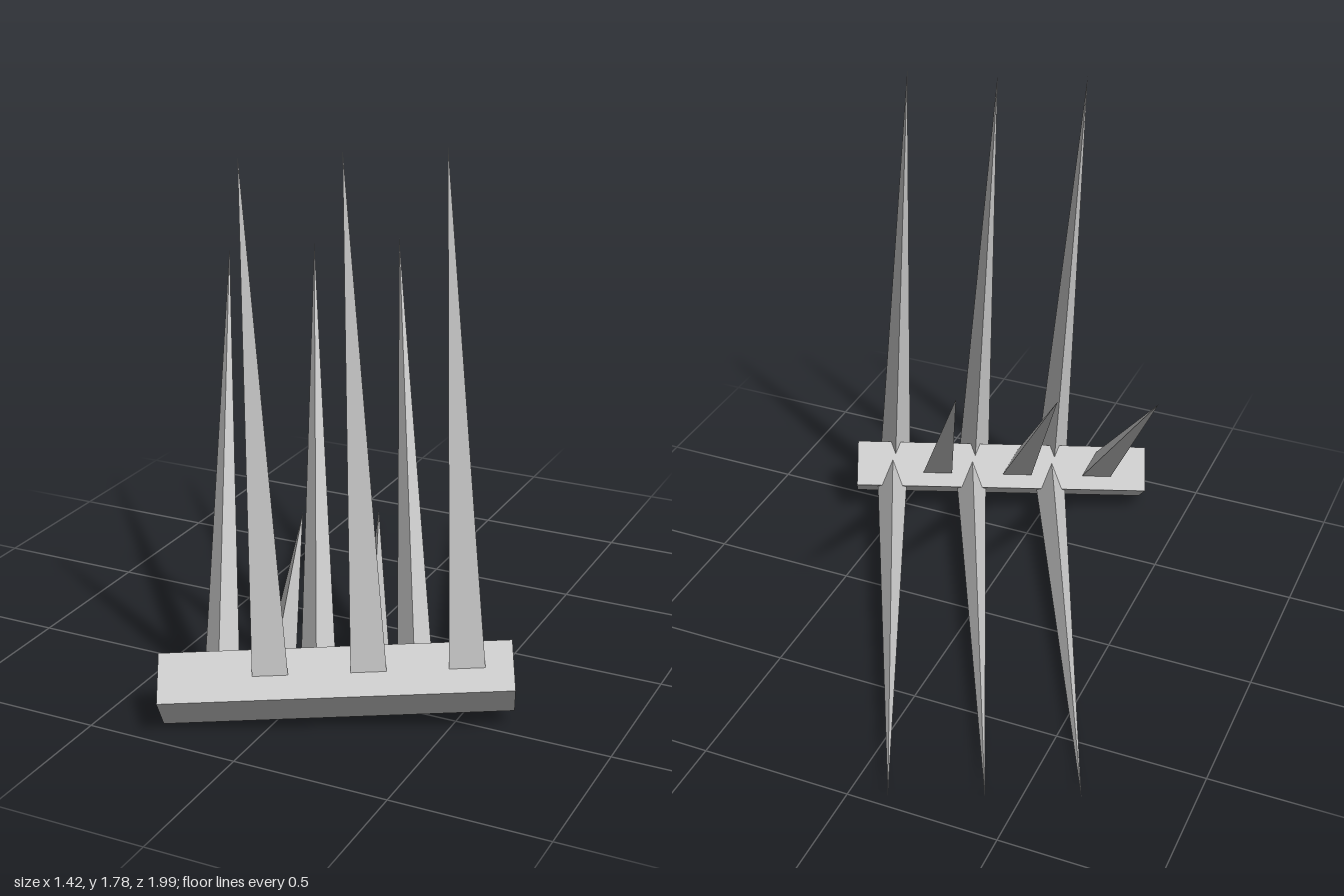
import * as THREE from 'three';

const BAR = { length: 1.075, side: 0.164 };
const SPACING = 0.297;

// Long three-sided spike whose base sits inside the bar
function makeSpike(material, length, radius, turn) {
  const geometry = new THREE.ConeGeometry(radius, length, 3);
  geometry.translate(0, length / 2, 0);
  geometry.rotateY(turn);
  return new THREE.Mesh(geometry, material);
}

export function createModel() {
  const material = new THREE.MeshStandardMaterial({ color: 0xcccccc, flatShading: true });
  const model = new THREE.Group();
  model.name = 'spikedBar';

  // Tilted frame: x runs along the bar, y is the normal of its upper front side
  const along = new THREE.Vector3(0.975, 0.05, -0.45).normalize();
  const across = new THREE.Vector3().crossVectors(along, new THREE.Vector3(0.242, 0.76, 0.604)).normalize();
  const up = new THREE.Vector3().crossVectors(across, along);
  const frame = new THREE.Group();
  frame.name = 'tiltedFrame';
  frame.quaternion.setFromRotationMatrix(new THREE.Matrix4().makeBasis(along, up, across));
  frame.position.set(0.175, 0.145, 0.665);
  model.add(frame);

  // Square bar
  const bar = new THREE.Mesh(new THREE.BoxGeometry(BAR.length, BAR.side, BAR.side), material);
  bar.name = 'bar';
  frame.add(bar);

  // Three rows of spikes fanned around the bar; shift moves a row sideways off the centre line
  const rows = [
    { name: 'uprightSpike', angle: -Math.PI / 4, offset: 0.1, turn: Math.PI, length: 1.625, shift: 0.03 },
    { name: 'slantedSpike', angle: -Math.PI / 2, offset: -0.058, turn: 0, length: 1.634, shift: 0 },
    { name: 'rearSpike', angle: -Math.PI * 0.75, offset: 0.11, turn: 0, length: 1.64, shift: 0.005 },
  ];
  for (const row of rows) {
    for (let i = -1; i <= 1; i++) {
      const spike = makeSpike(material, row.length, 0.065, row.turn);
      spike.name = row.name + (i + 2);
      spike.rotation.x = row.angle;
      spike.position.set(
        row.offset + i * SPACING,
        -Math.sin(row.angle) * row.shift,
        Math.cos(row.angle) * row.shift
      );
      frame.add(spike);
    }
  }
  return model;
}
